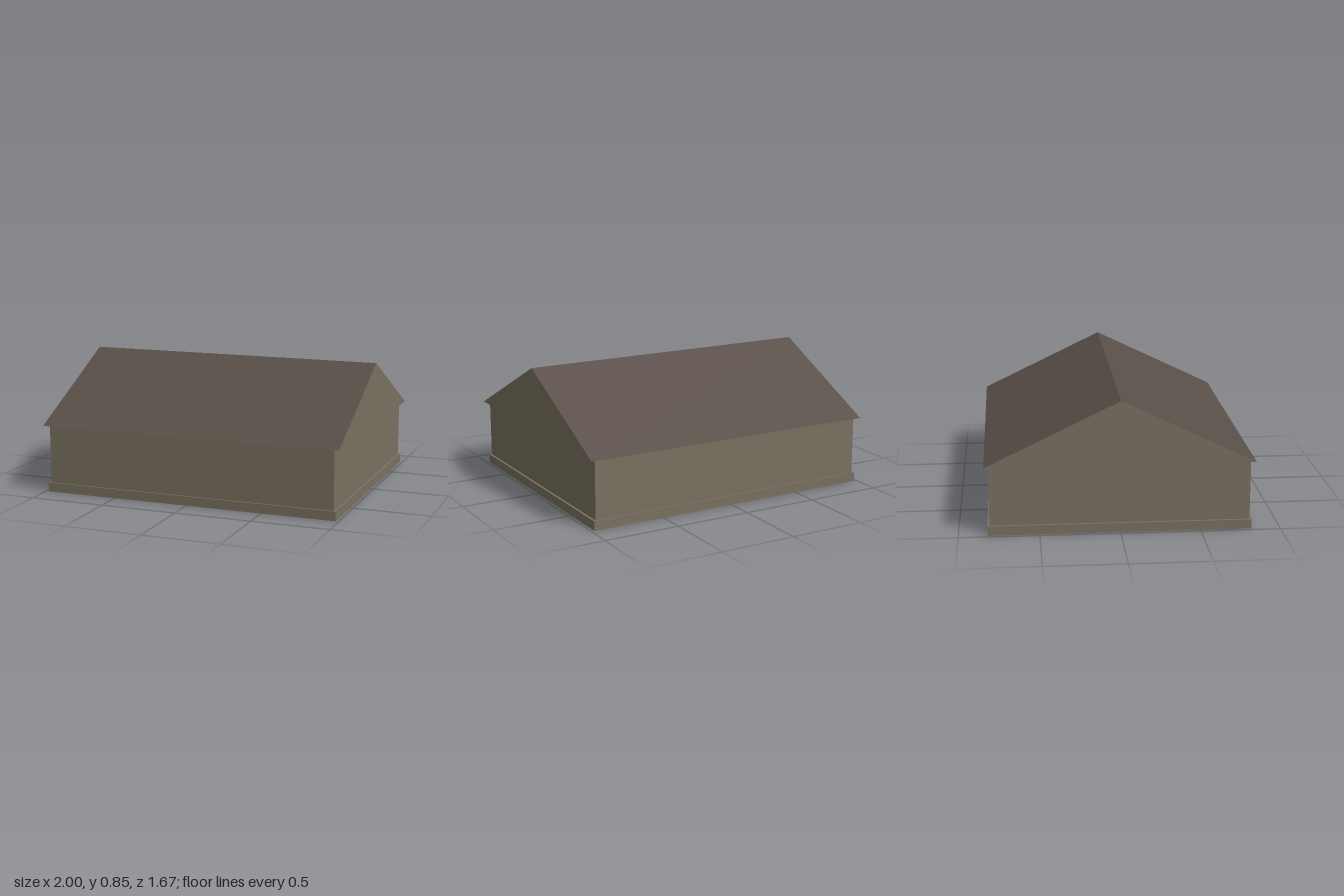
import * as THREE from 'three';

const WALL_X = 0.965, WALL_Z = 0.808;
const BASE_X = 0.98, BASE_Z = 0.82, BASE_H = 0.06;
const ROOF_X = 1, ROOF_Z = 0.836, EAVE_Y = 0.442, RIDGE_Y = 0.845;

// Flat convex panel from corners listed counter-clockwise as seen from outside
function panel(name, corners, material) {
  const geometry = new THREE.BufferGeometry();
  geometry.setAttribute('position', new THREE.Float32BufferAttribute(corners.flat(), 3));
  const index = [];
  for (let i = 1; i < corners.length - 1; i++) index.push(0, i, i + 1);
  geometry.setIndex(index);
  geometry.computeVertexNormals();
  const mesh = new THREE.Mesh(geometry, material);
  mesh.name = name;
  return mesh;
}

function rectangle(target, x, z) {
  target.moveTo(-x, -z);
  target.lineTo(x, -z);
  target.lineTo(x, z);
  target.lineTo(-x, z);
  target.closePath();
  return target;
}

// Rectangular outline with a rectangular opening
function ringShape(x, z, holeX, holeZ) {
  const shape = rectangle(new THREE.Shape(), x, z);
  shape.holes.push(rectangle(new THREE.Path(), holeX, holeZ));
  return shape;
}

export function createModel() {
  const model = new THREE.Group();
  model.name = 'gabledBuilding';
  const wallMaterial = new THREE.MeshStandardMaterial({ name: 'taupe wall', color: 0x7a7060, side: THREE.DoubleSide });
  const roofMaterial = new THREE.MeshStandardMaterial({ name: 'dark brown roof', color: 0x594e48, side: THREE.DoubleSide });

  // Base course around the foot of the walls
  const baseGeometry = new THREE.ExtrudeGeometry(
    ringShape(BASE_X, BASE_Z, WALL_X, WALL_Z), { depth: BASE_H, bevelEnabled: false });
  baseGeometry.rotateX(-Math.PI / 2);
  const base = new THREE.Mesh(baseGeometry, wallMaterial);
  base.name = 'baseCourse';
  model.add(base);

  // Hollow walls, open at the bottom
  const plan = [[-WALL_X, WALL_Z], [WALL_X, WALL_Z], [WALL_X, -WALL_Z], [-WALL_X, -WALL_Z]];
  ['frontWall', 'leftWall', 'backWall', 'rightWall'].forEach((name, i) => {
    const [ax, az] = plan[i], [bx, bz] = plan[(i + 1) % 4];
    model.add(panel(name, [[ax, 0, az], [bx, 0, bz], [bx, EAVE_Y, bz], [ax, EAVE_Y, az]], wallMaterial));
  });

  // Eave underside, open over the interior
  const soffitGeometry = new THREE.ShapeGeometry(ringShape(ROOF_X, ROOF_Z, WALL_X, WALL_Z));
  soffitGeometry.rotateX(Math.PI / 2);
  const soffit = new THREE.Mesh(soffitGeometry, roofMaterial);
  soffit.name = 'soffit';
  soffit.position.y = EAVE_Y;
  model.add(soffit);

  // Roof slopes and gables, mirrored by direction
  for (const s of [1, -1]) {
    const x = ROOF_X * s, z = ROOF_Z * s;
    model.add(panel(s > 0 ? 'frontRoofSlope' : 'backRoofSlope',
      [[-x, EAVE_Y, z], [x, EAVE_Y, z], [x, RIDGE_Y, 0], [-x, RIDGE_Y, 0]], roofMaterial));
    model.add(panel(s > 0 ? 'leftGable' : 'rightGable',
      [[x, EAVE_Y, z], [x, EAVE_Y, -z], [x, RIDGE_Y, 0]], wallMaterial));
  }
  return model;
}
